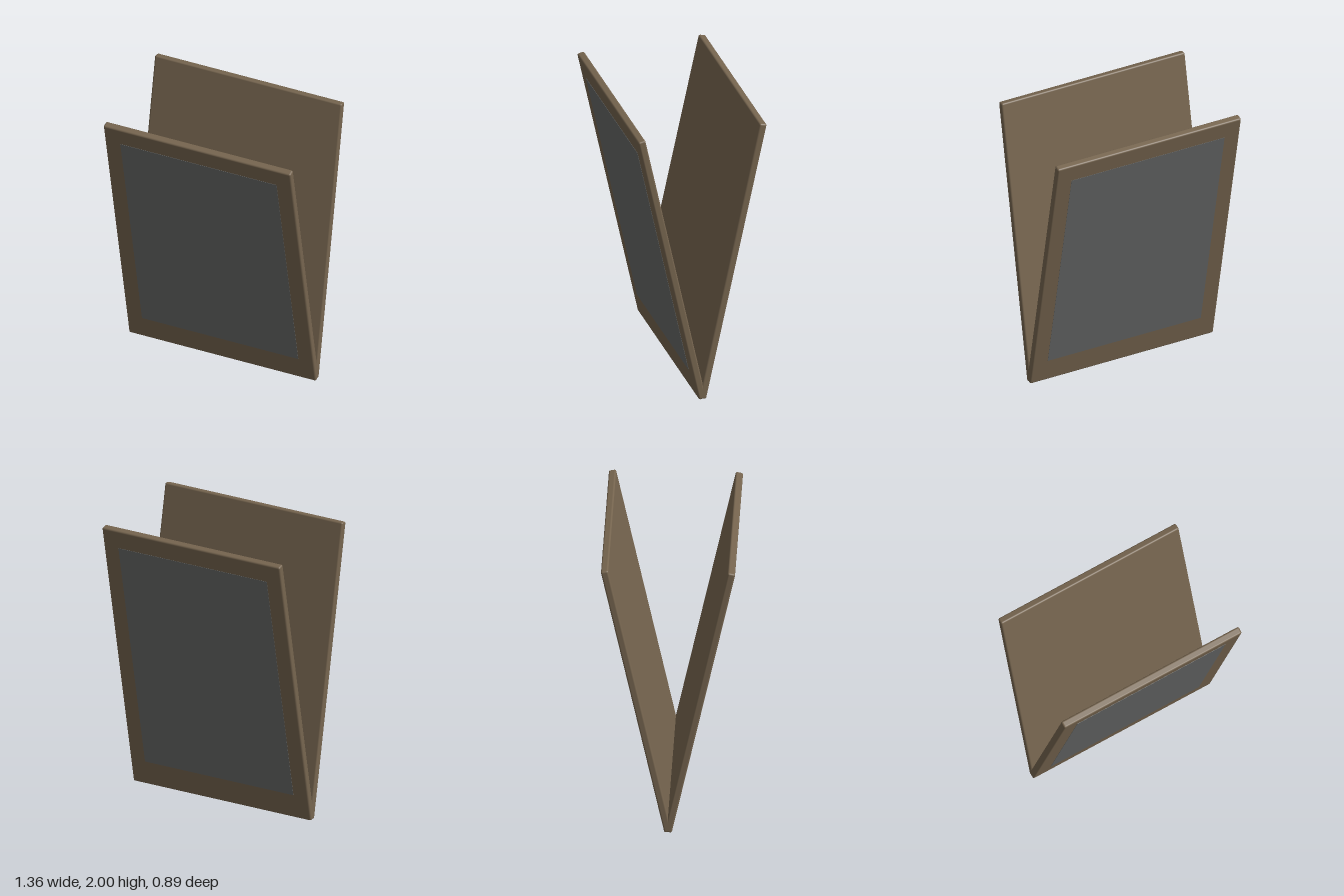
import * as THREE from 'three';
import { RoundedBoxGeometry } from 'three/addons/geometries/RoundedBoxGeometry.js';

const TILT = THREE.MathUtils.degToRad(12);
const WIDTH = 1.356, LENGTH = 2.034, THICK = 0.05;

const wood = new THREE.MeshStandardMaterial({ color: 0x76654f });
wood.name = 'brown wood';
const slate = new THREE.MeshStandardMaterial({ color: 0x666867 });
slate.name = 'slate grey';

// One leaning board with a writing surface on its outer (+z) face
function makeLeaf(name) {
  const leaf = new THREE.Group();
  leaf.name = name;

  const board = new THREE.Mesh(new RoundedBoxGeometry(WIDTH, LENGTH, THICK, 3, 0.012), wood);
  board.name = 'board';

  const surface = new THREE.Mesh(new THREE.BoxGeometry(1.132, 1.714, 0.004), slate);
  surface.name = 'writingSurface';
  surface.position.set(0, 0.024, THICK / 2);

  leaf.add(board, surface);
  leaf.position.set(0, 1, (LENGTH / 2) * Math.sin(TILT));
  leaf.rotation.x = TILT;
  return leaf;
}

export function createModel() {
  const model = new THREE.Group();
  model.name = 'foldingBoard';

  // Two leaves meet along the bottom edge; the back one is the front turned around
  model.add(makeLeaf('frontLeaf'));
  const back = new THREE.Group();
  back.name = 'backHalf';
  back.rotation.y = Math.PI;
  back.add(makeLeaf('backLeaf'));
  model.add(back);
  return model;
}
